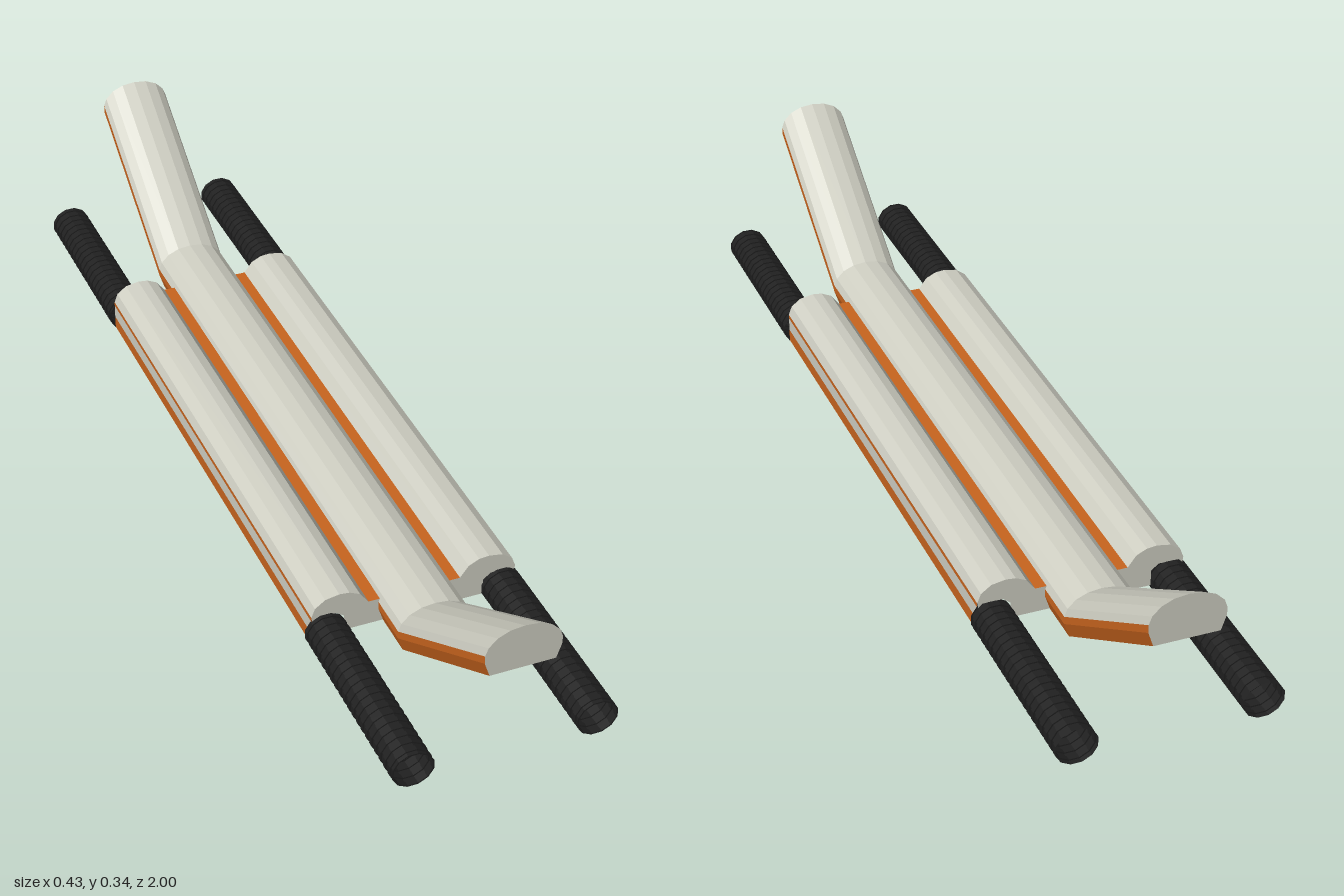
import * as THREE from 'three';

const material = (name, color, side = THREE.FrontSide) =>
  Object.assign(new THREE.MeshStandardMaterial({ color, side }), { name });

export function createModel() {
  const grey = material('pale grey', 0xcfcfc3);
  const orange = material('orange', 0xc8641e);
  const dark = material('dark underside', 0x3c3c3a);
  const black = material('black tread', 0x202020, THREE.DoubleSide);

  const model = new THREE.Group();
  model.name = 'sled';

  const add = (geometry, mat, name, parent = model) => {
    const mesh = new THREE.Mesh(geometry, mat);
    mesh.name = name;
    parent.add(mesh);
    return mesh;
  };

  // Faceted skin: a counter-clockwise profile swept through stations [z, lift], front to back
  const skin = (points, stations) => {
    const pos = [];
    for (let s = 0; s < stations.length - 1; s++) {
      const [z0, l0] = stations[s], [z1, l1] = stations[s + 1];
      for (let i = 0; i < points.length - 1; i++) {
        const [ax, ay] = points[i], [bx, by] = points[i + 1];
        const a = [ax, ay + l0, z0], b = [bx, by + l0, z0];
        const c = [bx, by + l1, z1], d = [ax, ay + l1, z1];
        pos.push(...a, ...c, ...b, ...a, ...d, ...c);
      }
    }
    const g = new THREE.BufferGeometry();
    g.setAttribute('position', new THREE.Float32BufferAttribute(pos, 3));
    g.computeVertexNormals();
    return g;
  };
  const mirror = (points) => points.map(([x, y]) => [-x, y]).reverse();
  const plate = (points) =>
    new THREE.ShapeGeometry(new THREE.Shape(points.map(([x, y]) => new THREE.Vector2(x, y))));

  // Central beam with both ends bent upward
  const beam = new THREE.Group();
  beam.name = 'centralBeam';
  model.add(beam);
  const bend = [[1, 0.224], [0.65, 0], [-0.65, 0], [-1, 0.224]];
  const base = [[-0.062, 0.024], [0.062, 0.024]];
  const flank = [[0.062, 0.024], [0.072, 0.054], [0.072, 0.07]];
  const crown = [[0.072, 0.07], [0.066, 0.086], [0.05, 0.102], [0.027, 0.112], [0, 0.115]];
  const roof = [...crown, ...mirror(crown).slice(1)];
  add(skin(base, bend), dark, 'beamUnderside', beam);
  add(skin(flank, bend), orange, 'beamFlankLeft', beam);
  add(skin(mirror(flank), bend), orange, 'beamFlankRight', beam);
  add(skin(roof, bend), grey, 'beamTop', beam);
  const endOutline = [...base, ...flank.slice(1), ...roof.slice(1), ...mirror(flank).slice(1, -1)];
  for (const dir of [1, -1]) {
    const cap = add(plate(endOutline), grey, dir > 0 ? 'beamFrontEnd' : 'beamBackEnd', beam);
    cap.position.set(0, 0.224, dir);
    if (dir < 0) cap.rotation.y = Math.PI;
  }

  // Side pods: half profile split by colour
  const length = [[0.56, 0], [-0.56, 0]];
  const arch = [[0.205, 0.073], [0.198, 0.092], [0.178, 0.107], [0.15, 0.112],
    [0.13, 0.11], [0.109, 0.1], [0.092, 0.077]];
  const strips = [
    ['podFloor', dark, [[0, 0.025], [0.14, 0.025]]],
    ['runner', black, [[0.14, 0.025], [0.15, 0.004], [0.2, 0.004]]],
    ['lowerTrim', orange, [[0.2, 0.004], [0.205, 0.01], [0.205, 0.036]]],
    ['sideBand', grey, [[0.205, 0.036], [0.205, 0.064]]],
    ['upperTrim', orange, [[0.205, 0.064], [0.205, 0.073]]],
    ['podRoof', grey, arch],
    ['deckStrip', orange, [[0.092, 0.077], [0.05, 0.077]]],
  ];
  // End plates are cut away around the tread tube
  const podEnd = [[0, 0.025], [0.14, 0.025], [0.14, 0.058], [0.155, 0.07], [0.195, 0.07],
    [0.203, 0.062], ...arch, [0, 0.077]];

  // Ridged tread tube profile
  const ridges = [];
  for (let i = 0; i <= 20; i++) {
    const y = -0.2 + i * 0.02;
    ridges.push(new THREE.Vector2(0.041, y));
    if (i < 20) {
      ridges.push(new THREE.Vector2(0.041, y + 0.01), new THREE.Vector2(0.038, y + 0.01),
        new THREE.Vector2(0.038, y + 0.02));
    }
  }
  const tread = new THREE.LatheGeometry(ridges, 12, Math.PI / 12).toNonIndexed();
  tread.computeVertexNormals();
  tread.rotateX(Math.PI / 2).scale(1, 0.91, 1);

  for (const side of [1, -1]) {
    const pod = new THREE.Group();
    pod.name = side > 0 ? 'leftPod' : 'rightPod';
    model.add(pod);
    for (const [name, mat, points] of strips) {
      add(skin(side > 0 ? points : mirror(points), length), mat, name, pod);
    }
    for (const dir of [1, -1]) {
      const cap = add(plate(side * dir > 0 ? podEnd : mirror(podEnd)), grey, 'podEnd', pod);
      cap.position.z = dir * 0.56;
      if (dir < 0) cap.rotation.y = Math.PI;
      add(tread, black, 'treadTube', pod).position.set(side * 0.177, 0.037, dir * 0.758);
    }
  }
  return model;
}
